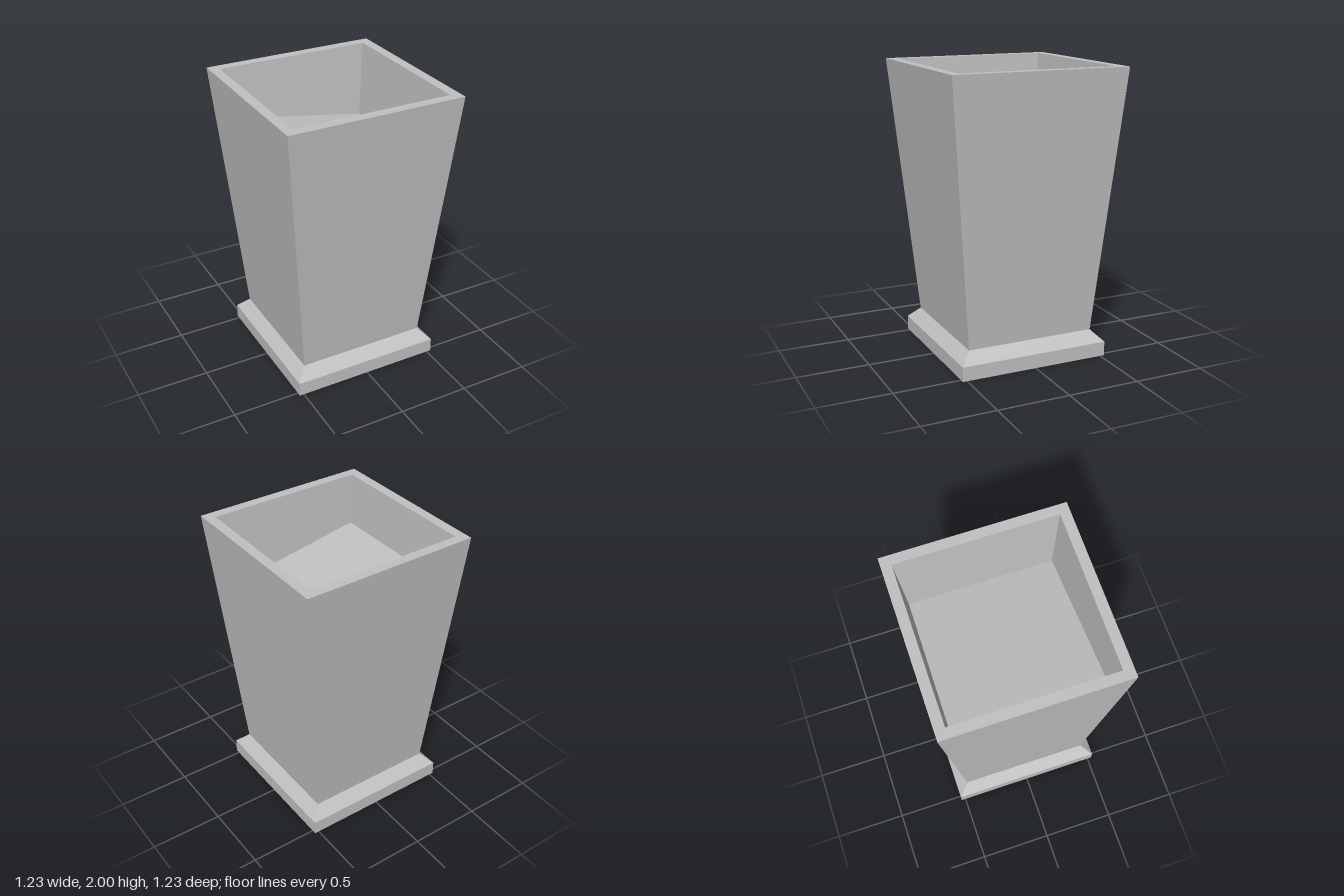
import * as THREE from 'three';

// Square corners, counter-clockwise seen from above
const CORNERS = [[1, 1], [1, -1], [-1, -1], [-1, 1]];

// A level square ring of four points
const ring = (half, y) => CORNERS.map(([x, z]) => [x * half, y, z * half]);

// Skin consecutive square rings with flat quads, optionally capping the ends
function skin(rings, { capStart = false, capEnd = false } = {}) {
  const pos = [];
  const quad = (a, b, c, d) => pos.push(...a, ...b, ...c, ...a, ...c, ...d);
  for (let r = 0; r < rings.length - 1; r++) {
    const lo = rings[r], hi = rings[r + 1];
    for (let i = 0; i < 4; i++) {
      const j = (i + 1) % 4;
      quad(lo[i], lo[j], hi[j], hi[i]);
    }
  }
  if (capStart) quad(...[...rings[0]].reverse());
  if (capEnd) quad(...rings[rings.length - 1]);
  const geo = new THREE.BufferGeometry();
  geo.setAttribute('position', new THREE.Float32BufferAttribute(pos, 3));
  geo.computeVertexNormals();
  return geo;
}

export function createModel() {
  const group = new THREE.Group();
  group.name = 'planter';
  const stone = new THREE.MeshStandardMaterial({ color: 0xc0c0c0 });
  stone.name = 'grey stone';

  const add = (name, geo) => {
    const mesh = new THREE.Mesh(geo, stone);
    mesh.name = name;
    group.add(mesh);
  };

  const OUT = 0.616, IN = 0.547, NECK = 0.455, NECK_Y = 0.178, TOP = 2;
  const slope = (OUT - NECK) / (TOP - NECK_Y);

  // Square foot with a chamfered upper edge
  add('foot', skin([ring(0.531, 0), ring(0.531, 0.1), ring(NECK, NECK_Y)], { capStart: true }));

  // Tapered outer walls
  add('outerWalls', skin([ring(NECK, NECK_Y), ring(OUT, TOP)]));

  // Flat rim
  add('rim', skin([ring(OUT, TOP), ring(IN, TOP)]));

  // Inner walls parallel to the outer ones, ending at a floor that slopes down towards +x
  const floor = CORNERS.map(([x, z]) => {
    const depth = x > 0 ? 0.52 : 0.352;
    const half = IN - slope * depth;
    return [x * half, TOP - depth, z * half];
  });
  add('innerWalls', skin([ring(IN, TOP), floor]));
  add('slopingFloor', skin([floor], { capEnd: true }));

  return group;
}
